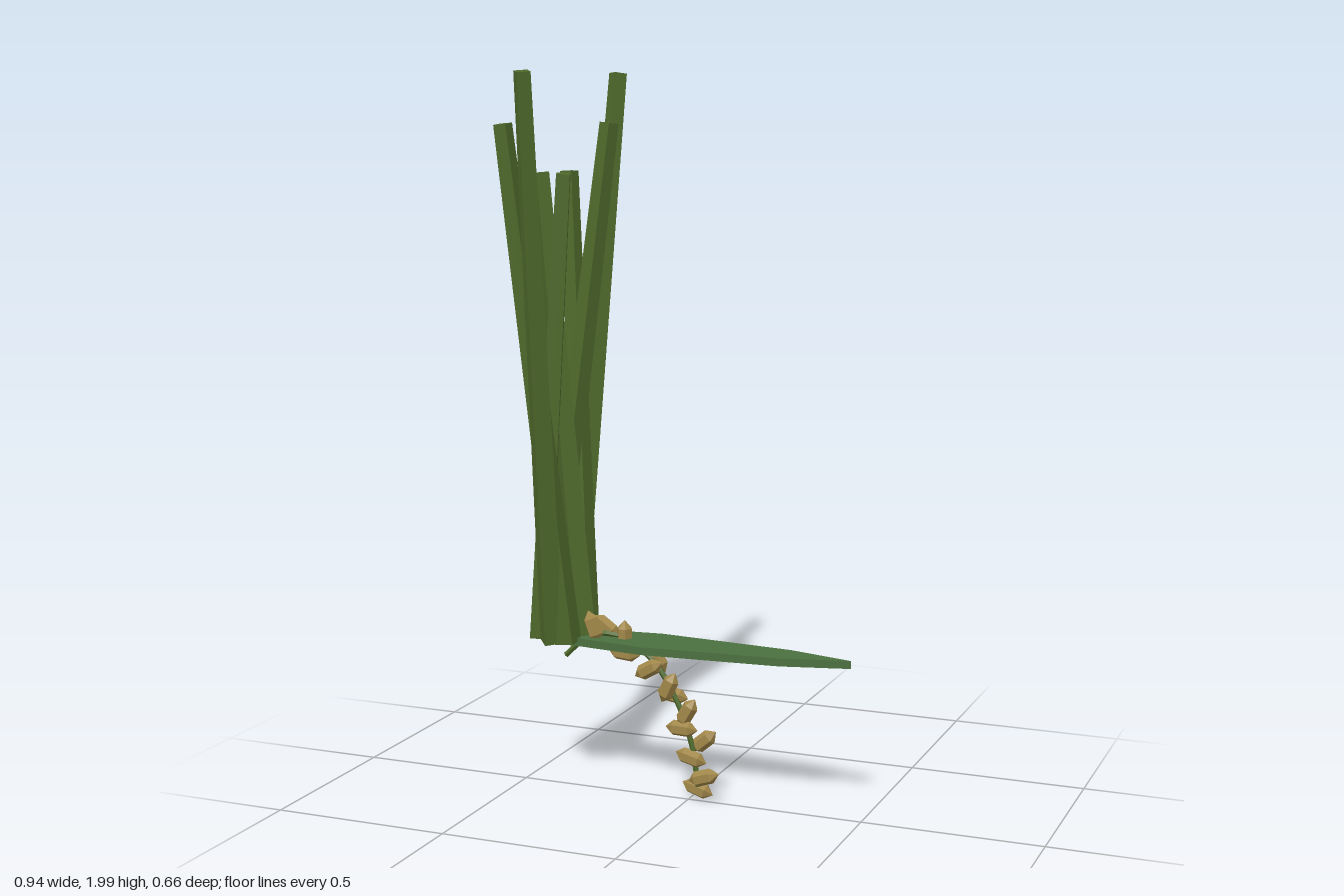
import * as THREE from 'three';

const stemMat = new THREE.MeshStandardMaterial({ color: 0x4f6a2c, flatShading: true });
const leafMat = new THREE.MeshStandardMaterial({ color: 0x4b7040, flatShading: true });
const fruitMat = new THREE.MeshStandardMaterial({ color: 0xa08648, flatShading: true });
const UP = new THREE.Vector3(0, 1, 0);

// Tapered four-sided stem between two points, spun about its own axis
function makeStem(base, top, spin) {
  const a = new THREE.Vector3(...base), b = new THREE.Vector3(...top);
  const dir = b.clone().sub(a);
  const geo = new THREE.CylinderGeometry(0.026, 0.038, dir.length(), 4);
  geo.rotateY(spin);
  const stem = new THREE.Mesh(geo, stemMat);
  stem.position.copy(a).add(b).multiplyScalar(0.5);
  stem.quaternion.setFromUnitVectors(UP, dir.normalize());
  stem.name = 'stem';
  return stem;
}

function makeStems() {
  const group = new THREE.Group();
  group.name = 'stems';
  // base x, z, then top x, y, z, then spin
  const data = [
    [-0.38, -0.068, -0.335, 1.997, -0.303, 0.1],
    [-0.38, 0.068, -0.335, 1.997, 0.303, -0.1],
    [-0.335, -0.06, -0.41, 1.73, -0.135, 0.65],
    [-0.436, -0.03, -0.275, 1.862, -0.105, 0.4],
    [-0.315, 0, -0.433, 1.73, 0, 0],
    [-0.436, 0.03, -0.33, 1.73, 0.073, -0.4],
    [-0.335, 0.06, -0.452, 1.862, 0.185, 0.75],
  ];
  for (const [bx, bz, tx, ty, tz, spin] of data) {
    group.add(makeStem([bx, 0.44, bz], [tx, ty, tz], spin));
  }
  return group;
}

// Flat pointed leaf blade
function makeLeaf() {
  const half = [[-0.4, 0.045], [-0.11, 0.079], [0.28, 0.047]];
  const shape = new THREE.Shape([
    ...half.map(([x, w]) => new THREE.Vector2(x, -w)),
    new THREE.Vector2(0.466, 0),
    ...half.slice().reverse().map(([x, w]) => new THREE.Vector2(x, w)),
  ]);
  const geo = new THREE.ExtrudeGeometry(shape, { depth: 0.022, bevelEnabled: false });
  geo.rotateX(-Math.PI / 2);
  const leaf = new THREE.Mesh(geo, leafMat);
  leaf.position.y = 0.43;
  leaf.name = 'leaf';
  return leaf;
}

// Drooping cluster: thin stalk with faceted fruits on alternating sides
function makeCluster() {
  const group = new THREE.Group();
  group.name = 'fruitCluster';
  const path = new THREE.CatmullRomCurve3([
    [-0.37, 0.385], [-0.29, 0.452], [-0.19, 0.452], [-0.1, 0.39],
    [-0.03, 0.28], [0.01, 0.17], [0.03, 0.05],
  ].map(([x, y]) => new THREE.Vector3(x, y, 0)));
  const stalk = new THREE.Mesh(new THREE.TubeGeometry(path, 18, 0.008, 5), stemMat);
  stalk.name = 'stalk';
  group.add(stalk);

  const geo = new THREE.SphereGeometry(0.025, 6, 3);
  geo.scale(1, 1.9, 1);
  // x, y, z and tilt from vertical in degrees
  const fruits = [
    [-0.276, 0.48, 0.02, 20], [-0.257, 0.473, -0.025, 55],
    [-0.19, 0.455, 0, 0], [-0.182, 0.415, 0.02, 85],
    [-0.11, 0.375, 0.02, -60], [-0.1, 0.4, -0.02, 30],
    [-0.05, 0.33, 0.023, -25], [-0.055, 0.298, -0.02, 80],
    [0, 0.26, 0.01, -30], [-0.012, 0.217, 0.02, 88],
    [0.038, 0.175, -0.02, -50], [0.01, 0.132, 0.005, 75],
    [0.054, 0.085, 0.022, -72], [0.02, 0.037, -0.02, 72],
  ];
  for (const [x, y, z, tilt] of fruits) {
    const fruit = new THREE.Mesh(geo, fruitMat);
    fruit.position.set(x, y, z);
    fruit.rotation.z = THREE.MathUtils.degToRad(tilt);
    fruit.name = 'fruit';
    group.add(fruit);
  }
  return group;
}

export function createModel() {
  const model = new THREE.Group();
  model.name = 'plant';
  model.add(makeStems(), makeLeaf(), makeCluster());
  return model;
}
